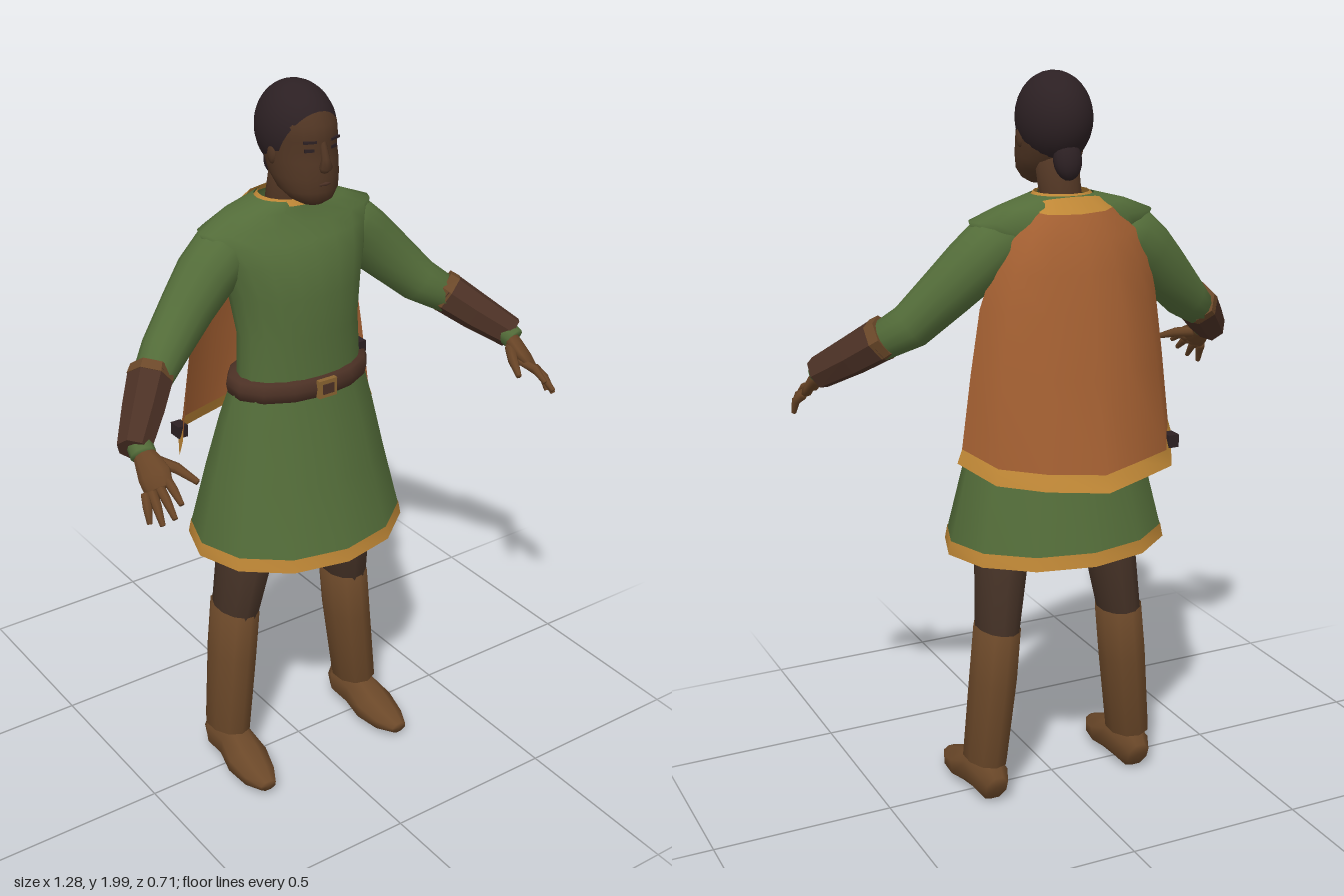
import * as THREE from 'three';

const mat = (name, color, side = THREE.FrontSide) => {
  const m = new THREE.MeshStandardMaterial({ color, side });
  m.name = name;
  return m;
};

export function createModel() {
  const model = new THREE.Group();
  model.name = 'cloakedFigure';
  const green = mat('green cloth', 0x536c39, THREE.DoubleSide);
  const orange = mat('orange cloth', 0xa46032, THREE.DoubleSide);
  const gold = mat('gold trim', 0xbf8736, THREE.DoubleSide);
  const boot = mat('boot leather', 0x6b4829);
  const pants = mat('dark trousers', 0x483428);
  const hairMat = mat('hair', 0x2c2023, THREE.DoubleSide);
  const skin = mat('face skin', 0x503523);
  const handSkin = mat('hand skin', 0x684426);
  const leather = mat('dark leather', 0x4c3125);
  const brass = mat('brass', 0x8a6431);

  const add = (name, geo, material, parent = model) => {
    const m = new THREE.Mesh(geo, material);
    m.name = name;
    parent.add(m);
  };

  // Surface through rows of points, optionally closed round and capped
  const skinRows = (rows, { closed = true, caps = false, flat = false } = {}) => {
    const n = rows[0].length, pos = [], idx = [];
    rows.forEach(r => r.forEach(p => pos.push(p.x, p.y, p.z)));
    const cols = closed ? n : n - 1;
    for (let i = 0; i < rows.length - 1; i++) for (let j = 0; j < cols; j++) {
      const k = (j + 1) % n, a = i * n + j, b = i * n + k;
      idx.push(a, b, a + n, b, b + n, a + n);
    }
    if (caps) [0, rows.length - 1].forEach(i => {
      const c = rows[i].reduce((s, p) => s.add(p), new THREE.Vector3()).divideScalar(n);
      const ci = pos.length / 3;
      pos.push(c.x, c.y, c.z);
      for (let j = 0; j < n; j++) {
        const a = i * n + j, b = i * n + (j + 1) % n;
        i === 0 ? idx.push(ci, b, a) : idx.push(ci, a, b);
      }
    });
    let g = new THREE.BufferGeometry();
    g.setAttribute('position', new THREE.Float32BufferAttribute(pos, 3));
    g.setIndex(idx);
    if (flat) g = g.toNonIndexed();
    g.computeVertexNormals();
    return g;
  };

  // Upright loft, bottom to top; each section is [y, half width, front z, back z]
  const ring = ([y, rx, f, b], sides) => Array.from({ length: sides }, (_, j) => {
    const t = j / sides * Math.PI * 2;
    return new THREE.Vector3(rx * Math.sin(t), y, (f + b) / 2 + (f - b) / 2 * Math.cos(t));
  });
  const loft = (sections, sides, opts) => skinRows(sections.map(s => ring(s, sides)), opts);

  // Tapered limb; each point is [x, y, z, radius, second radius]
  const limb = (pts, sides, s = 1, ref = new THREE.Vector3(0, 0, 1), flat = false) => {
    const c = pts.map(p => new THREE.Vector3(p[0] * s, p[1], p[2]));
    return skinRows(c.map((p, i) => {
      const t = c[Math.min(i + 1, c.length - 1)].clone().sub(c[Math.max(i - 1, 0)]).normalize();
      const a = t.clone().cross(ref).normalize(), b = t.clone().cross(a);
      const ra = pts[i][3], rb = pts[i][4] ?? ra;
      return Array.from({ length: sides }, (_, j) => {
        const w = (j + 0.5) / sides * Math.PI * 2;
        return p.clone().addScaledVector(a, ra * Math.cos(w)).addScaledVector(b, rb * Math.sin(w));
      });
    }), { caps: true, flat });
  };
  const up = new THREE.Vector3(0, 1, 0);

  // Tunic body, skirt, hem and collar
  add('tunicBody', loft([
    [1.2, 0.185, 0.112, -0.11], [1.35, 0.178, 0.108, -0.115], [1.46, 0.193, 0.108, -0.14],
    [1.55, 0.218, 0.092, -0.155], [1.6, 0.245, 0.06, -0.16], [1.637, 0.262, 0.034, -0.155],
    [1.67, 0.18, 0.02, -0.15], [1.695, 0.085, 0.014, -0.135]], 20), green);
  add('tunicSkirt', loft([
    [0.765, 0.307, 0.233, -0.263], [0.95, 0.262, 0.185, -0.215],
    [1.1, 0.228, 0.145, -0.165], [1.22, 0.195, 0.115, -0.12]], 12), green);
  add('skirtHem', loft([[0.733, 0.315, 0.24, -0.27], [0.77, 0.308, 0.233, -0.263]], 12), gold);
  add('collar', loft([[1.684, 0.088, 0.022, -0.14], [1.7, 0.074, 0.014, -0.13]], 16), gold);

  // Ragged shirt tails hanging inside the skirt
  const tails = ring([0.95, 0.19, 0.11, -0.14], 14);
  tails.forEach((p, j) => { if (j % 2) p.y = 0.76; });
  add('shirtTails', skinRows([tails, ring([1.12, 0.19, 0.11, -0.13], 14)]), green);

  // Belt, buckle and small belt fittings
  add('belt', loft([[1.183, 0.19, 0.11, -0.125], [1.187, 0.207, 0.126, -0.138], [1.213, 0.212, 0.131, -0.142],
    [1.237, 0.205, 0.125, -0.135], [1.242, 0.18, 0.105, -0.11]], 14), leather);
  add('buckle', new THREE.BoxGeometry(0.056, 0.05, 0.014).translate(0, 1.213, 0.13), brass);
  add('buckleCentre', new THREE.BoxGeometry(0.034, 0.028, 0.008).translate(0, 1.213, 0.136), leather);
  add('beltPouch', new THREE.BoxGeometry(0.035, 0.03, 0.06).translate(0.18, 1.245, 0.005), hairMat);
  add('scabbardTip', new THREE.BoxGeometry(0.03, 0.035, 0.04).translate(-0.262, 1.028, -0.192), hairMat);

  // Cape: uneven folds as [sideways, backward] fractions, repeated up the rows
  const folds = [[0.98, 0], [0.84, 0.54], [0.5, 0.8], [0.03, 1], [-0.35, 0.83], [-0.69, 0.67], [-1.01, 0]];
  // Rows run bottom to top: [edge y, middle y, half width, edge z, middle z]
  const cape = [[1.012, 0.967, 0.322, -0.088, -0.358], [1.05, 1.01, 0.309, -0.09, -0.338],
    [1.25, 1.25, 0.283, -0.095, -0.298], [1.42, 1.42, 0.257, -0.1, -0.262],
    [1.52, 1.51, 0.228, -0.115, -0.238], [1.6, 1.59, 0.175, -0.135, -0.218],
    [1.66, 1.655, 0.105, -0.14, -0.178], [1.685, 1.695, 0.085, -0.115, -0.145]]
    .map(([ye, ym, w, ze, zm]) => folds.map(([u, k]) =>
      new THREE.Vector3(w * u, ye + (ym - ye) * k, ze + (zm - ze) * k)));
  add('cape', skinRows(cape.slice(1, 7), { closed: false }), orange);
  add('capeHem', skinRows(cape.slice(0, 2), { closed: false }), gold);
  add('capeTopTrim', skinRows(cape.slice(6), { closed: false }), gold);

  // Head, neck and face
  add('neck', limb([[0, 1.62, -0.06, 0.06], [0, 1.69, -0.052, 0.056], [0, 1.78, -0.028, 0.058]], 14), skin);
  add('head', loft([
    [1.706, 0.03, 0.09, 0.03], [1.72, 0.055, 0.11, 0.0], [1.745, 0.076, 0.117, -0.04],
    [1.78, 0.085, 0.118, -0.08], [1.82, 0.088, 0.114, -0.1], [1.85, 0.089, 0.107, -0.11],
    [1.875, 0.09, 0.112, -0.115], [1.91, 0.088, 0.107, -0.115], [1.95, 0.072, 0.08, -0.09],
    [1.98, 0.03, 0.03, -0.05]], 22, { caps: true }), skin);
  add('nose', limb([[0, 1.872, 0.105, 0.008, 0.008], [0, 1.83, 0.116, 0.011, 0.012],
    [0, 1.81, 0.118, 0.018, 0.016], [0, 1.8, 0.11, 0.014, 0.01]], 8), skin);
  add('mouth', limb([[-0.026, 1.765, 0.108, 0.003], [0, 1.767, 0.117, 0.006], [0.026, 1.765, 0.108, 0.003]], 6, 1, up), leather);
  add('hair', new THREE.SphereGeometry(1, 28, 16, 0, Math.PI * 2, 0, 2.1)
    .rotateX(-1.08).scale(0.097, 0.12, 0.119).translate(0, 1.88, -0.014), hairMat);
  add('hairBun', new THREE.SphereGeometry(1, 14, 10).scale(0.038, 0.054, 0.034)
    .rotateX(0.25).translate(0, 1.782, -0.093), hairMat);

  for (const s of [1, -1]) {
    const side = new THREE.Group();
    side.name = s > 0 ? 'leftSide' : 'rightSide';
    model.add(side);

    // Eye, brow and ear
    add('eye', new THREE.BoxGeometry(0.024, 0.008, 0.008).rotateY(s * 0.35).translate(s * 0.036, 1.853, 0.097), hairMat, side);
    add('brow', new THREE.BoxGeometry(0.034, 0.006, 0.008).rotateY(s * 0.35).translate(s * 0.037, 1.875, 0.102), hairMat, side);
    add('ear', new THREE.SphereGeometry(1, 10, 8).scale(0.009, 0.026, 0.017).translate(s * 0.086, 1.832, 0.008), skin, side);

    // Sleeve, bracer with lining rim, and cuff
    add('sleeve', limb([[0.14, 1.59, -0.06, 0.05, 0.075], [0.2, 1.567, -0.06, 0.082, 0.082],
      [0.25, 1.523, -0.055, 0.08, 0.078], [0.315, 1.46, -0.038, 0.073, 0.067],
      [0.405, 1.372, -0.008, 0.062, 0.06], [0.475, 1.325, 0.04, 0.05, 0.05]], 14, s), green, side);
    add('bracerRim', limb([[0.459, 1.346, 0.022, 0.056, 0.058], [0.476, 1.331, 0.039, 0.06, 0.06]], 7, s, up, true), boot, side);
    add('bracer', limb([[0.471, 1.335, 0.034, 0.059, 0.059], [0.53, 1.284, 0.095, 0.054, 0.054],
      [0.6, 1.228, 0.167, 0.043, 0.045]], 7, s, up, true), leather, side);
    add('cuff', limb([[0.578, 1.245, 0.145, 0.032], [0.588, 1.222, 0.193, 0.033, 0.03]], 10, s, up), green, side);

    // Palm, fingers and thumb, rolled so the little finger hangs lowest
    const roll = new THREE.Vector3(s * 0.5, 0.86, 0);
    add('palm', limb([[0.585, 1.228, 0.175, 0.024, 0.02], [0.584, 1.21, 0.205, 0.034, 0.021],
      [0.586, 1.187, 0.24, 0.043, 0.019], [0.592, 1.164, 0.268, 0.038, 0.014]], 10, s, roll), handSkin, side);
    [[0.564, 1.184, 0.574, 1.152, 0.344], [0.584, 1.17, 0.598, 1.124, 0.352], [0.602, 1.159, 0.62, 1.102, 0.33],
      [0.618, 1.15, 0.633, 1.092, 0.29]].forEach(([x0, y0, x1, y1, z], i) =>
      add('finger' + (i + 1), limb([[x0, y0, 0.25, 0.013], [(x0 + x1) / 2 + 0.004, (y0 + y1) / 2 + 0.008, (0.25 + z) / 2 + 0.006, 0.012],
        [x1, y1, z, 0.007]], 7, s, up), handSkin, side));
    add('thumb', limb([[0.567, 1.207, 0.205, 0.016], [0.533, 1.197, 0.255, 0.014], [0.508, 1.176, 0.31, 0.008]], 7, s, up), handSkin, side);

    // Trouser leg, boot shaft and foot
    add('trouserLeg', limb([[0.09, 1.02, -0.02, 0.09, 0.1], [0.125, 0.88, -0.02, 0.085, 0.105],
      [0.163, 0.72, -0.02, 0.07, 0.1], [0.19, 0.49, -0.045, 0.057, 0.08]], 12, s), pants, side);
    add('bootShaft', limb([[0.188, 0.51, -0.045, 0.063, 0.087], [0.202, 0.36, -0.045, 0.064, 0.086],
      [0.226, 0.12, -0.037, 0.06, 0.078]], 10, s), boot, side);
    add('foot', limb([[0.224, 0.055, -0.112, 0.034, 0.042], [0.224, 0.067, -0.08, 0.05, 0.065],
      [0.224, 0.07, 0.0, 0.052, 0.068], [0.228, 0.051, 0.07, 0.064, 0.051],
      [0.232, 0.038, 0.14, 0.05, 0.034], [0.234, 0.036, 0.188, 0.026, 0.016]], 8, s, up), boot, side);
  }
  return model;
}
